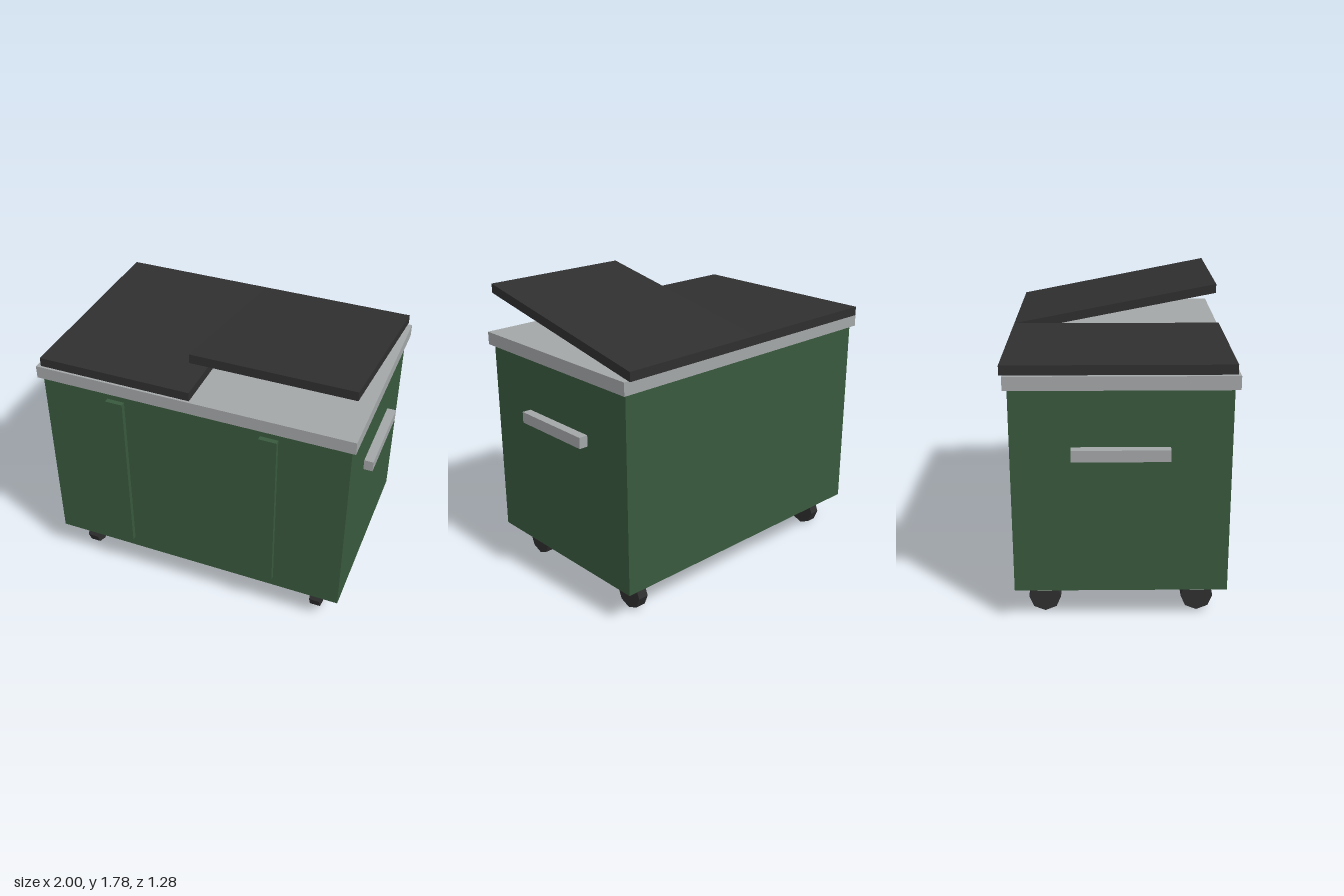
import * as THREE from 'three';

export function createModel() {
  const green = new THREE.MeshStandardMaterial({ name: 'green paint', color: 0x38593d });
  const grey = new THREE.MeshStandardMaterial({ name: 'grey metal', color: 0xa3a6a7 });
  const black = new THREE.MeshStandardMaterial({ name: 'black plastic', color: 0x2f2f2f });
  const model = new THREE.Group();
  model.name = 'wheeledBin';

  // Box given by its limits on each axis
  const box = (name, material, [x0, x1], [y0, y1], [z0, z1], parent = model) => {
    const mesh = new THREE.Mesh(new THREE.BoxGeometry(x1 - x0, y1 - y0, z1 - z0), material);
    mesh.position.set((x0 + x1) / 2, (y0 + y1) / 2, (z0 + z1) / 2);
    mesh.name = name;
    parent.add(mesh);
    return mesh;
  };

  // Body and top rim
  box('body', green, [-0.945, 0.945], [0.205, 1.41], [-0.6, 0.615]);
  box('rim', grey, [-0.97, 0.97], [1.41, 1.488], [-0.623, 0.643]);

  // Closed lid
  box('closedLid', black, [-0.945, 0], [1.488, 1.543], [-0.64, 0.628]);

  // Propped lid: a slab whose front edge is raised
  const raised = box('openLid', black, [0, 0.945], [1.488, 1.543], [-0.64, 0.605]);
  const pos = raised.geometry.attributes.position;
  for (let i = 0; i < pos.count; i++) {
    if (pos.getZ(i) > 0) pos.setY(i, pos.getY(i) + 0.242);
  }
  raised.geometry.computeVertexNormals();

  for (const side of [-1, 1]) {
    const label = side > 0 ? 'left' : 'right';
    // Front rib and side handle
    const x = side * 0.473;
    box(label + 'Rib', green, [x - 0.054, x + 0.054], [0.275, 1.355], [0.6, 0.645]);
    const hx = side * 0.97;
    box(label + 'Handle', grey, [hx - 0.03, hx + 0.03], [1.015, 1.082], [-0.265, 0.278]);

    // Casters: bracket and eight-sided wheel
    for (const z of [-0.437, 0.455]) {
      const caster = new THREE.Group();
      caster.name = label + (z > 0 ? 'Front' : 'Back') + 'Caster';
      caster.position.set(side * 0.783, 0, z);
      box('bracket', grey, [-0.053, 0.053], [0.138, 0.206], [-0.042, 0.042], caster);
      const tyre = new THREE.CylinderGeometry(0.094, 0.094, 0.066, 8).toNonIndexed();
      tyre.computeVertexNormals();
      const wheel = new THREE.Mesh(tyre, black);
      wheel.name = 'wheel';
      wheel.rotation.z = Math.PI / 2;
      wheel.position.y = 0.094;
      caster.add(wheel);
      model.add(caster);
    }
  }
  return model;
}
